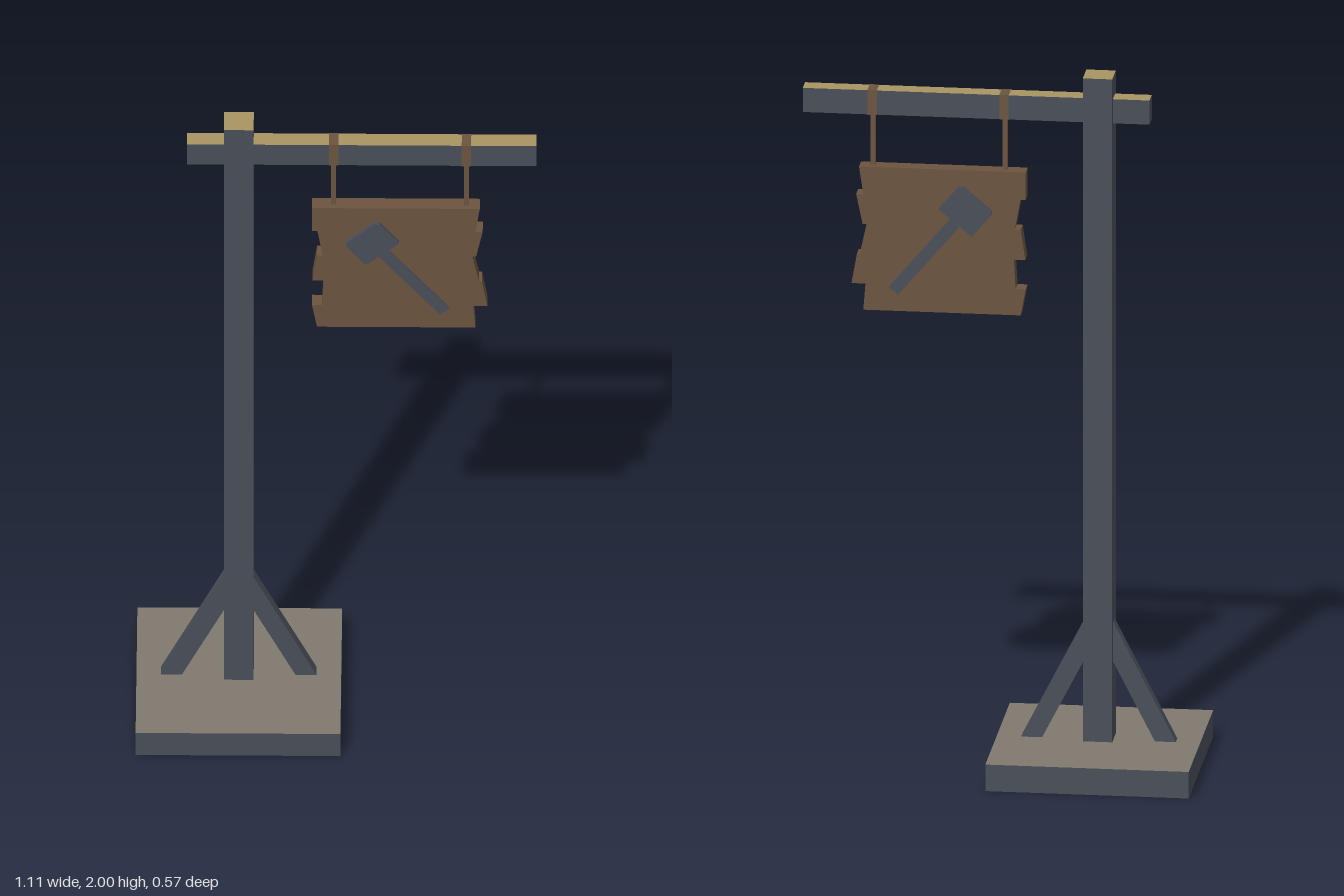
import * as THREE from 'three';

const mat = (name, color, extra = {}) => Object.assign(new THREE.MeshStandardMaterial({ color, ...extra }), { name });

export function createModel() {
  const model = new THREE.Group();
  model.name = 'hangingSign';
  const slate = mat('slate timber', 0x494e58);
  const tan = mat('cut wood', 0xa89462);
  const stone = mat('stone top', 0x7f796f);
  const under = mat('dark underside', 0x36362b);
  const brown = mat('sign wood', 0x6c543f);

  const add = (name, geometry, material, parent = model) => {
    const mesh = new THREE.Mesh(geometry, material);
    mesh.name = name;
    parent.add(mesh);
    return mesh;
  };
  // Box given by its limits along each axis
  const box = (name, [x0, x1], [y0, y1], [z0, z1], material) => {
    const mesh = add(name, new THREE.BoxGeometry(x1 - x0, y1 - y0, z1 - z0), material);
    mesh.position.set((x0 + x1) / 2, (y0 + y1) / 2, (z0 + z1) / 2);
    return mesh;
  };
  // Flat outline extruded evenly about z = 0
  const slab = (name, points, depth, material) => {
    const shape = new THREE.Shape(points.map(([x, y]) => new THREE.Vector2(x, y)));
    const geometry = new THREE.ExtrudeGeometry(shape, { depth, bevelEnabled: false });
    return add(name, geometry.translate(0, 0, -depth / 2), material);
  };
  const capped = (top, bottom = slate) => [slate, slate, top, bottom, slate, slate];

  // Base, post and cross beam
  const postX = -0.272;
  box('base', [-0.555, 0.011], [0, 0.077], [-0.283, 0.283], capped(stone, under));
  box('post', [postX - 0.041, postX + 0.041], [0.077, 2], [-0.041, 0.041], capped(tan));
  box('beam', [-0.415, 0.55], [1.868, 1.938], [-0.026, 0.026], capped(tan));

  // Slanted braces on both sides of the post
  for (const [name, s] of [['leftBrace', 1], ['rightBrace', -1]]) {
    slab(name, [[0.157, 0.077], [0.215, 0.077], [0.03, 0.44], [0.03, 0.325]]
      .map(([x, y]) => [postX + s * x, y]), 0.036, slate);
  }

  // Straps round the beam and the ropes below them
  for (const x of [-0.01, 0.357]) {
    box('strap', [x - 0.013, x + 0.013], [1.867, 1.939], [-0.027, 0.027], brown);
    box('rope', [x - 0.007, x + 0.007], [1.71, 1.87], [-0.007, 0.007], brown);
  }

  // Sign board with ragged plank ends
  slab('signBoard', [
    [-0.07, 1.715], [-0.07, 1.635], [-0.055, 1.635], [-0.04, 1.549], [-0.056, 1.549],
    [-0.069, 1.461], [-0.037, 1.461], [-0.042, 1.376], [-0.07, 1.376], [-0.056, 1.3],
    [0.382, 1.3], [0.376, 1.376], [0.415, 1.376], [0.4, 1.461], [0.392, 1.461],
    [0.373, 1.549], [0.384, 1.549], [0.402, 1.635], [0.382, 1.635], [0.394, 1.715],
  ], 0.046, brown);

  // Hammer emblem set through the board, visible on both faces
  const hammer = new THREE.Group();
  hammer.name = 'hammerEmblem';
  hammer.position.set(0.095, 1.6, 0);
  hammer.rotation.z = -0.87;
  model.add(hammer);
  add('hammerHandle', new THREE.BoxGeometry(0.314, 0.034, 0.057), slate, hammer).position.set(0.157, 0, 0.0005);
  const head = slab('hammerHead', [
    [-0.047, -0.052], [-0.037, -0.06], [0.047, -0.06], [0.047, 0.06], [-0.037, 0.06], [-0.047, 0.052],
  ], 0.069, slate);
  head.position.z = 0.001;
  hammer.add(head);

  return model;
}
